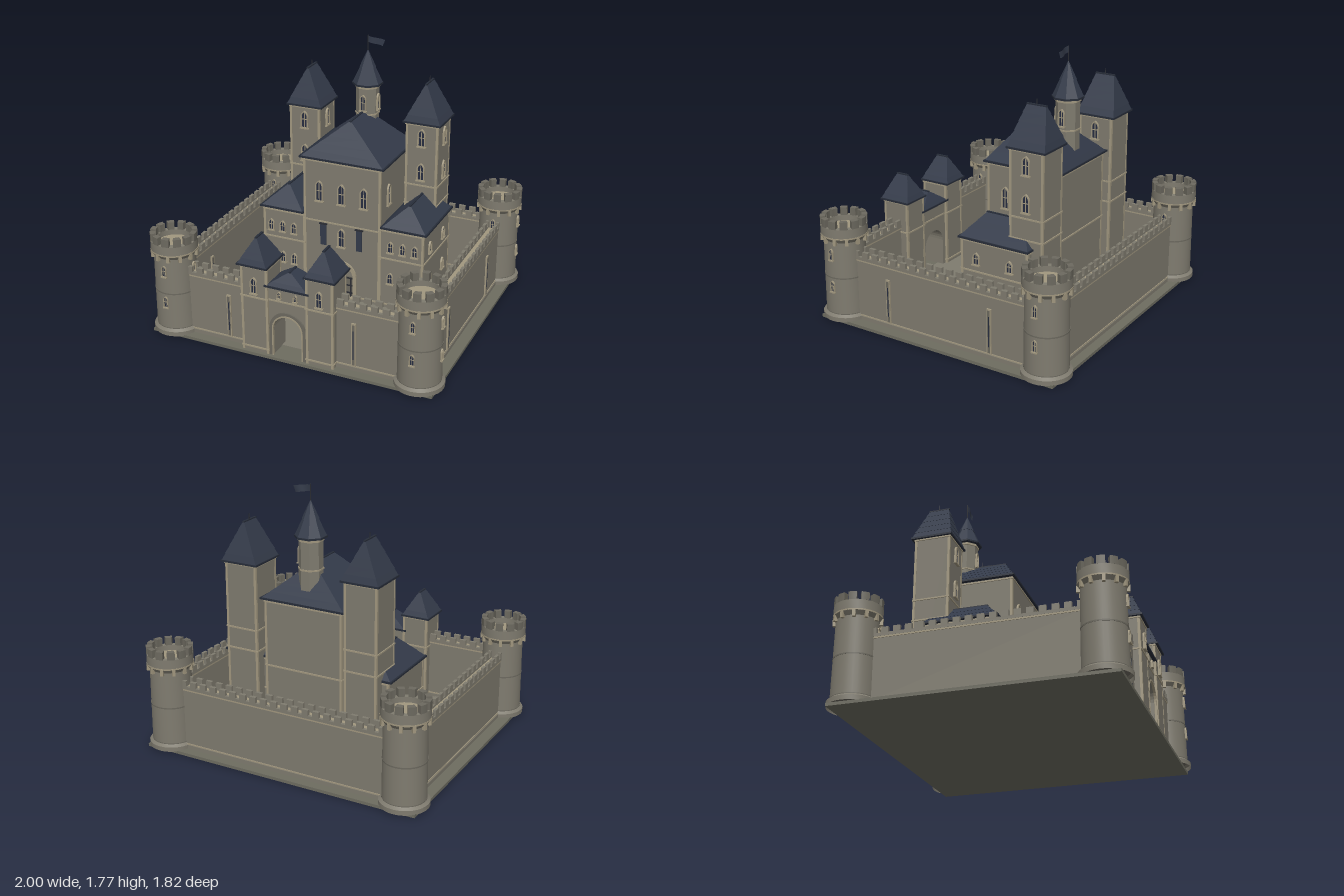
import * as THREE from 'three';
import { toCreasedNormals } from 'three/addons/utils/BufferGeometryUtils.js';

const material = (name, color) => {
  const m = new THREE.MeshStandardMaterial({ color, side: THREE.DoubleSide });
  m.name = name;
  return m;
};

export function createModel() {
  const stone = material('stone', 0x7f7b6f);
  const darkStone = material('dark stone', 0x6c695f);
  const earth = material('base', 0x6d6c60);
  const trim = material('pale trim', 0xa1977f);
  const slate = material('slate roof', 0x333a49);
  const slateEdge = material('slate edge', 0x272d39);
  const glass = material('window glass', 0x262d40);
  const iron = material('iron', 0x2b2d33);

  const group = (name, parent, x = 0, y = 0, z = 0, ry = 0) => {
    const g = new THREE.Group();
    g.name = name;
    g.position.set(x, y, z);
    g.rotation.y = ry;
    parent.add(g);
    return g;
  };
  const add = (name, parent, geo, mat, x = 0, y = 0, z = 0) => {
    const m = new THREE.Mesh(geo, mat);
    m.name = name;
    m.position.set(x, y, z);
    parent.add(m);
    return m;
  };
  // box resting on height y
  const box = (name, parent, mat, w, h, d, x, y, z) =>
    add(name, parent, new THREE.BoxGeometry(w, h, d), mat, x, y + h / 2, z);

  // rectangular frustum standing on y = 0
  const frustum = (w0, d0, w1, d1, h) => {
    const g = new THREE.BoxGeometry(1, h, 1).toNonIndexed();
    const p = g.attributes.position;
    for (let i = 0; i < p.count; i++) {
      const top = p.getY(i) > 0;
      p.setXYZ(i, p.getX(i) * (top ? w1 : w0), top ? h : 0, p.getZ(i) * (top ? d1 : d0));
    }
    g.computeVertexNormals();
    return g;
  };
  // hip roof with overlapping slate courses, ridge running along z
  const hipRoof = (name, parent, x, y, z, w, d, h, ridge, courses) => {
    const g = group(name, parent, x, y, z);
    box('eave', g, slateEdge, w + 0.004, 0.012, d + 0.004, 0, -0.004, 0);
    const at = (t) => [w * (1 - t) + 0.006 * t, d * (1 - t) + ridge * t];
    for (let i = 0; i < courses; i++) {
      const a = at(i / courses), b = at((i + 1) / courses), lip = i ? 0.005 : 0;
      add('slateCourse', g, frustum(a[0] + lip, a[1] + lip, b[0], b[1], h / courses), slate, 0, i * h / courses, 0);
    }
    box('ridgeCap', g, slateEdge, 0.014, 0.008, ridge + 0.01, 0, h - 0.005, 0);
    return g;
  };

  // pointed arch outline, base at y = 0
  const archPath = (P, w, h) => {
    const p = new P(), s = h - w * 0.8;
    p.moveTo(-w / 2, 0);
    p.lineTo(w / 2, 0);
    p.lineTo(w / 2, s);
    p.quadraticCurveTo(w / 2, s + w * 0.5, 0, h);
    p.quadraticCurveTo(-w / 2, s + w * 0.5, -w / 2, s);
    p.lineTo(-w / 2, 0);
    return p;
  };
  const extrude = (shape, depth) =>
    new THREE.ExtrudeGeometry(shape, { depth, bevelEnabled: false, curveSegments: 8 });
  const windowAt = (parent, x, y, z, w, h, ry = 0) => {
    const g = group('window', parent, x, y, z, ry);
    const frame = archPath(THREE.Shape, w, h);
    const hole = archPath(THREE.Path, w * 0.7, h - w * 0.3);
    hole.curves.forEach((c) => ['v0', 'v1', 'v2'].forEach((k) => c[k] && (c[k] = c[k].clone().add(new THREE.Vector2(0, w * 0.14)))));
    frame.holes.push(hole);
    add('frame', g, extrude(frame, 0.012), trim);
    add('pane', g, new THREE.ShapeGeometry(archPath(THREE.Shape, w * 0.85, h * 0.95)), glass, 0, 0, 0.004);
    box('mullion', g, trim, w * 0.09, h * 0.9, 0.006, 0, 0, 0.005);
    box('transom', g, trim, w * 0.8, w * 0.08, 0.006, 0, h * 0.5, 0.005);
    box('sill', g, trim, w * 1.2, 0.008, 0.018, 0, -0.004, 0.007);
  };
  // square block with pale corner strips and string courses
  const block = (name, parent, x, y0, y1, z, w, d, bands = []) => {
    const g = group(name, parent, x, 0, z);
    box('walls', g, stone, w, y1 - y0, d, 0, y0, 0);
    for (const sx of [-1, 1]) for (const sz of [-1, 1])
      box('cornerStrip', g, trim, 0.016, y1 - y0, 0.016, sx * (w / 2 - 0.006), y0, sz * (d / 2 - 0.006));
    for (const b of bands) box('stringCourse', g, trim, w + 0.012, 0.01, d + 0.012, 0, b, 0);
    return g;
  };

  const castle = new THREE.Group();
  castle.name = 'castle';

  // Ground
  box('base', castle, earth, 1.93, 0.02, 1.74, 0, 0, 0);
  box('courtyard', castle, stone, 1.62, 0.006, 1.44, 0, 0.018, 0);
  for (const s of [-1, 1]) box('courtyardPath', castle, trim, 0.16, 0.005, 0.39, s * 0.34, 0.022, 0.285);

  // Curtain walls
  const wall = (name, length, x, z, ry, slitX, gap) => {
    const g = group(name, castle, x, 0, z, ry);
    const runs = gap ? [-1, 1].map((s) => [s * (length / 2 + gap) / 2, length / 2 - gap]) : [[0, length]];
    for (const [cx, len] of runs) {
      box('wallBody', g, stone, len, 0.42, 0.082, cx, 0.02, 0);
      box('walkway', g, trim, len, 0.004, 0.06, cx, 0.439, 0);
      box('plinth', g, stone, len, 0.025, 0.1, cx, 0.02, 0);
      box('plinthCourse', g, trim, len, 0.008, 0.092, cx, 0.045, 0);
      box('wallCourse', g, trim, len, 0.01, 0.09, cx, 0.425, 0);
      const n = Math.round(len / 0.075);
      for (const s of [-1, 1]) {
        box('parapet', g, stone, len, 0.02, 0.02, cx, 0.435, s * 0.036);
        for (let i = 0; i < n; i++)
          box('merlon', g, stone, 0.044, 0.04, 0.02, cx - len / 2 + (i + 0.5) * len / n, 0.452, s * 0.036);
      }
    }
    for (const s of [-1, 1]) {
      box('slitSurround', g, trim, 0.03, 0.3, 0.016, s * slitX, 0.05, 0.044);
      box('slitStone', g, darkStone, 0.018, 0.28, 0.018, s * slitX, 0.06, 0.044);
      box('arrowSlit', g, glass, 0.006, 0.2, 0.02, s * slitX, 0.1, 0.044);
    }
  };
  wall('frontWall', 1.5, 0, 0.757, 0, 0.43, 0.3);
  wall('backWall', 1.5, 0, -0.757, 0, 0.43, 0);
  for (const s of [-1, 1]) wall('sideWall', 1.34, s * 0.84, 0, Math.PI / 2, 0.38, 0);

  // Corner towers
  const profile = [[0.157, 0.015], [0.157, 0.045], [0.147, 0.052], [0.137, 0.06], [0.133, 0.555], [0.15, 0.58],
    [0.15, 0.65], [0.114, 0.65], [0.114, 0.6]].map(([r, y]) => new THREE.Vector2(r, y));
  const towerGeo = toCreasedNormals(new THREE.LatheGeometry(profile, 32), 0.5);
  const sector = new THREE.Shape();
  sector.absarc(0, 0, 0.15, 0, 0.34, false);
  sector.absarc(0, 0, 0.114, 0.34, 0, true);
  const towerMerlon = extrude(sector, 0.052).rotateX(-Math.PI / 2);
  for (const sx of [-1, 1]) for (const sz of [-1, 1]) {
    const t = group('cornerTower', castle, sx * 0.842, 0, sz * 0.755);
    add('towerBody', t, towerGeo, stone);
    add('towerFloor', t, new THREE.CylinderGeometry(0.115, 0.115, 0.01, 32), trim, 0, 0.61, 0);
    for (const [y, r] of [[0.06, 0.138], [0.31, 0.137], [0.585, 0.152]])
      add('towerCourse', t, new THREE.CylinderGeometry(r, r, 0.009, 32), y > 0.5 ? trim : darkStone, 0, y, 0);
    for (let i = 0; i < 12; i++) {
      add('towerMerlon', t, towerMerlon, darkStone, 0, 0.649, 0).rotation.y = i * Math.PI / 6;
      const arm = group('corbelArm', t, 0, 0, 0, (i + 0.5) * Math.PI / 6);
      box('corbel', arm, trim, 0.02, 0.04, 0.025, 0, 0.54, 0.14);
    }
    for (const ry of [0, Math.PI / 2]) for (const y of [0.21, 0.43])
      windowAt(t, ry ? 0.132 : 0, y, ry ? 0 : 0.132, 0.034, 0.08, ry);
  }

  // Gatehouse with an open archway
  const gate = group('gatehouse', castle, 0, 0, 0.752);
  const face = new THREE.Shape();
  face.moveTo(-0.14, 0.02);
  face.lineTo(-0.102, 0.02);
  face.lineTo(-0.102, 0.21);
  face.absarc(0, 0.21, 0.102, Math.PI, 0, true);
  face.lineTo(0.102, 0.02);
  face.lineTo(0.14, 0.02);
  face.lineTo(0.14, 0.5);
  face.lineTo(-0.14, 0.5);
  add('gateBlock', gate, extrude(face, 0.16), stone, 0, 0, -0.08);
  const archBand = (parent, r0, r1, z, mat) => {
    const s = new THREE.Shape();
    s.moveTo(r1, 0.02);
    s.lineTo(r1, 0.21);
    s.absarc(0, 0.21, r1, 0, Math.PI, false);
    s.lineTo(-r1, 0.02);
    s.lineTo(-r0, 0.02);
    s.lineTo(-r0, 0.21);
    s.absarc(0, 0.21, r0, Math.PI, 0, true);
    s.lineTo(r0, 0.02);
    add('archSurround', parent, extrude(s, 0.015), mat, 0, 0, z);
  };
  archBand(gate, 0.102, 0.126, 0.076, darkStone);
  archBand(gate, 0.097, 0.106, 0.08, trim);
  box('gateCourse', gate, trim, 0.26, 0.01, 0.17, 0, 0.4, 0);
  hipRoof('gateRoof', gate, 0, 0.5, 0, 0.3, 0.2, 0.1, 0.08, 3);
  for (const s of [-1, 1]) {
    const t = block('gateTower', gate, s * 0.222, 0.02, 0.62, 0, 0.182, 0.19, [0.045, 0.4, 0.605]);
    windowAt(t, 0, 0.43, 0.095, 0.046, 0.115);
    windowAt(gate, s * 0.055, 0.425, 0.08, 0.026, 0.05);
    hipRoof('gateTowerRoof', gate, s * 0.228, 0.62, 0, 0.206, 0.226, 0.17, 0.08, 4);
  }

  // Keep
  const keep = block('keep', castle, 0, 0.02, 1.03, -0.235, 0.55, 0.53, [0.06, 0.58, 1.01]);
  hipRoof('keepRoof', castle, 0, 1.03, -0.235, 0.6, 0.56, 0.24, 0.25, 5);
  for (const x of [-0.16, 0, 0.16]) windowAt(keep, x, 0.73, 0.265, 0.055, 0.15);
  windowAt(keep, 0, 0.42, 0.265, 0.055, 0.14);
  windowAt(keep, 0.275, 0.73, 0.13, 0.055, 0.15, Math.PI / 2);
  for (const s of [-1, 1]) {
    box('banner', keep, slate, 0.042, 0.15, 0.008, s * 0.13, 0.42, 0.275);
    box('bannerRod', keep, iron, 0.056, 0.008, 0.014, s * 0.13, 0.57, 0.275);
  }
  // Keep door and steps
  archBand(keep, 0.085, 0.11, 0.262, trim);
  box('doorPanel', keep, darkStone, 0.17, 0.17, 0.006, 0, 0.045, 0.267);
  for (let i = 0; i < 5; i++) box('doorBar', keep, iron, 0.007, 0.15, 0.01, -0.07 + i * 0.035, 0.06, 0.27);
  for (const y of [0.09, 0.145, 0.2]) box('doorRail', keep, iron, 0.165, 0.009, 0.01, 0, y, 0.271);
  windowAt(keep, 0, 0.245, 0.264, 0.045, 0.08);
  for (let i = 0; i < 5; i++)
    box('step', castle, i % 2 ? stone : trim, 0.25 - i * 0.012, 0.009, 0.095 - i * 0.016, 0, 0.02 + i * 0.009, 0.03 + (0.095 - i * 0.016) / 2);

  // Wings and tall towers
  for (const s of [-1, 1]) {
    const wing = block('wing', castle, s * 0.425, 0.02, 0.62, -0.215, 0.31, 0.49, [0.06, 0.4, 0.6]);
    for (const x of [-0.085, 0, 0.085]) for (const y of [0.22, 0.45]) windowAt(wing, s * 0.012 + x, y, 0.245, 0.044, 0.085);
    if (s > 0) for (const z of [0.13, -0.115]) for (const y of [0.22, 0.45]) windowAt(wing, 0.155, y, z, 0.05, 0.085, Math.PI / 2);
    hipRoof('wingRoof', castle, s * 0.44, 0.62, -0.215, 0.32, 0.51, 0.142, 0.27, 3);

    const tower = block('tallTower', castle, s * 0.425, 0.02, 1.25, -0.42, 0.222, 0.235, [0.06, 0.67, 0.81, 1.235]);
    for (const y of [0.85, 1.09]) {
      windowAt(tower, 0, y, 0.1175, 0.055, 0.125);
      windowAt(tower, 0.111, y, 0, 0.055, 0.125, Math.PI / 2);
    }
    hipRoof('tallTowerRoof', castle, s * 0.425, 1.25, -0.424, 0.258, 0.27, 0.255, 0.13, 5);
    add('finial', castle, new THREE.CylinderGeometry(0.002, 0.005, 0.045, 6), iron, s * 0.425, 1.52, -0.424);
  }

  // Roof turret with flag
  const turret = group('turret', castle, 0, 0, -0.39);
  const octagon = (name, r0, r1, y0, y1, mat) => {
    const geo = new THREE.CylinderGeometry(r1, r0, y1 - y0, 8).rotateY(Math.PI / 8).toNonIndexed();
    geo.computeVertexNormals();
    add(name, turret, geo, mat, 0, (y0 + y1) / 2, 0);
  };
  octagon('turretBody', 0.078, 0.078, 1.0, 1.45, stone);
  octagon('turretCourse', 0.083, 0.083, 1.24, 1.25, trim);
  octagon('turretCornice', 0.085, 0.085, 1.425, 1.44, trim);
  octagon('turretEave', 0.104, 0.104, 1.444, 1.456, slateEdge);
  octagon('turretSpire', 0.102, 0.051, 1.45, 1.56, slate);
  octagon('turretSpireTop', 0.055, 0.002, 1.56, 1.675, slate);
  windowAt(turret, 0, 1.27, 0.072, 0.045, 0.115);
  windowAt(turret, 0.072, 1.27, 0, 0.045, 0.115, Math.PI / 2);
  add('flagPole', turret, new THREE.CylinderGeometry(0.003, 0.003, 0.13, 6), iron, 0, 1.71, 0);
  const flag = new THREE.PlaneGeometry(0.12, 0.042, 8, 1);
  const fp = flag.attributes.position;
  for (let i = 0; i < fp.count; i++) {
    const u = fp.getX(i) + 0.06;
    fp.setXYZ(i, u * (fp.getY(i) < 0 ? 0.86 : 1), fp.getY(i) - u * 0.14, Math.sin(u * 50) * 0.006);
  }
  flag.computeVertexNormals();
  add('flag', turret, flag, slate, 0, 1.75, 0);

  return castle;
}
